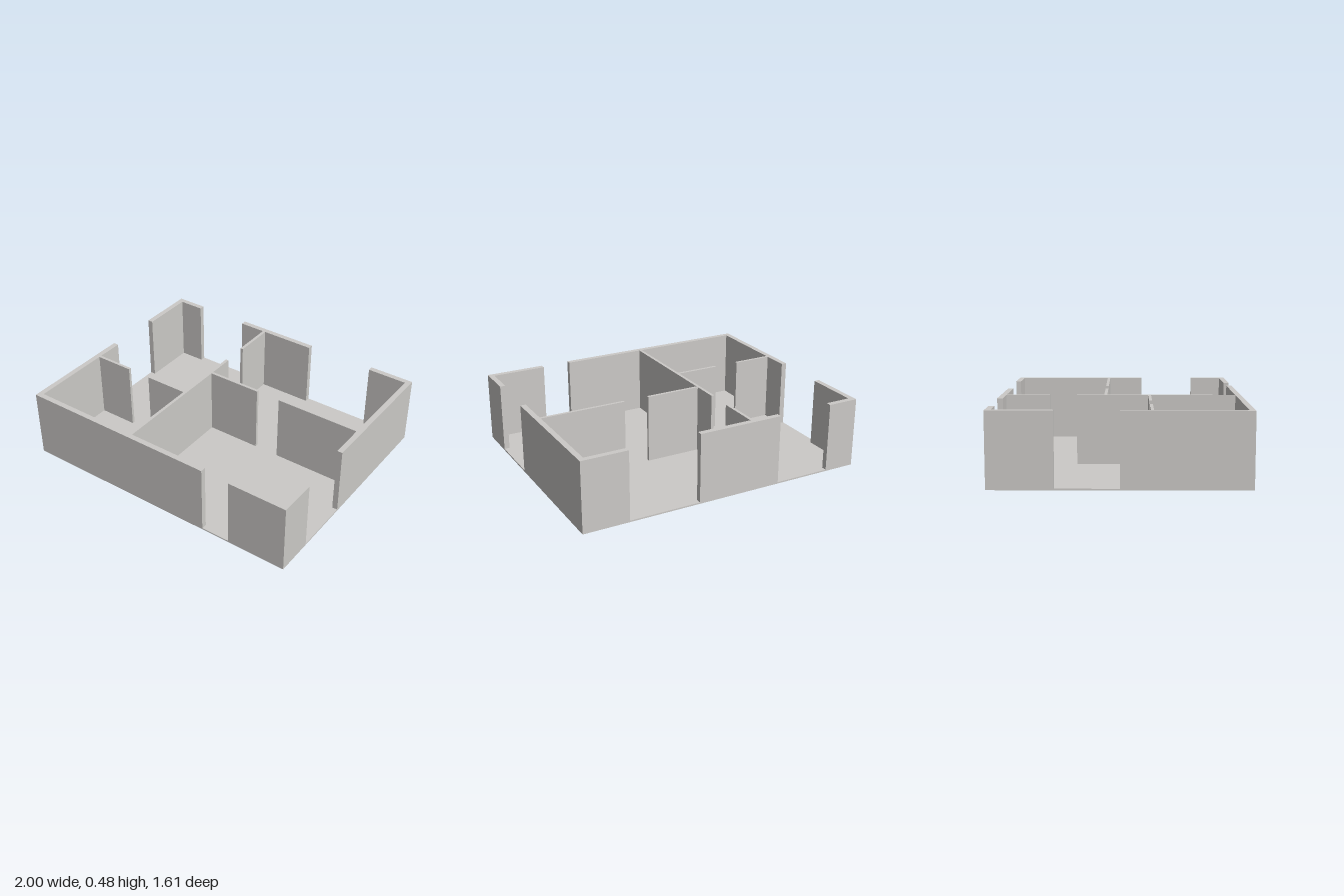
import * as THREE from 'three';

const FLOOR = 0.01, TOP = 0.48;   // floor thickness and wall top height
const X = 1, Z = 0.805, T = 0.037; // half width, half depth, outer wall thickness

export function createModel() {
  const plaster = new THREE.MeshStandardMaterial({ color: 0xcccac7 });
  plaster.name = 'warmGreyPlaster';
  const house = new THREE.Group();
  house.name = 'floorPlan';

  // Box given by its extents in x, y and z
  const block = (name, x0, x1, y0, y1, z0, z1) => {
    const mesh = new THREE.Mesh(new THREE.BoxGeometry(x1 - x0, y1 - y0, z1 - z0), plaster);
    mesh.position.set((x0 + x1) / 2, (y0 + y1) / 2, (z0 + z1) / 2);
    mesh.name = name;
    house.add(mesh);
  };
  // Wall runs along x or z, split into spans that leave the door and window gaps
  const wallX = (name, z0, z1, spans) =>
    spans.forEach(([a, b]) => block(name, a, b, FLOOR, TOP, z0, z1));
  const wallZ = (name, x0, x1, spans) =>
    spans.forEach(([a, b]) => block(name, x0, x1, FLOOR, TOP, a, b));

  block('floor', -X, X, 0, FLOOR, -Z, Z);

  // Outer walls
  wallX('frontWall', Z - T, Z, [[-X, 0.39], [0.59, X]]);
  wallX('backWall', -Z, -Z + T, [[-X, -0.785], [-0.395, 0.195], [0.685, X]]);
  wallZ('rightWall', -X, -X + T, [[-Z + T, -0.395], [0, Z - T]]);
  wallZ('leftWall', X - T, X, [[-Z + T, 0.155], [0.545, Z - T]]);

  // Inner partitions
  wallZ('middlePartition', -0.208, -0.187, [[-Z + T, -0.475], [-0.295, Z - T]]);
  wallX('leftPartition', -0.111, -0.091, [[-0.187, 0.195], [0.37, X - T]]);
  wallX('rightPartition', 0.183, 0.203, [[-X + T, -0.688], [-0.513, -0.208]]);

  return house;
}
